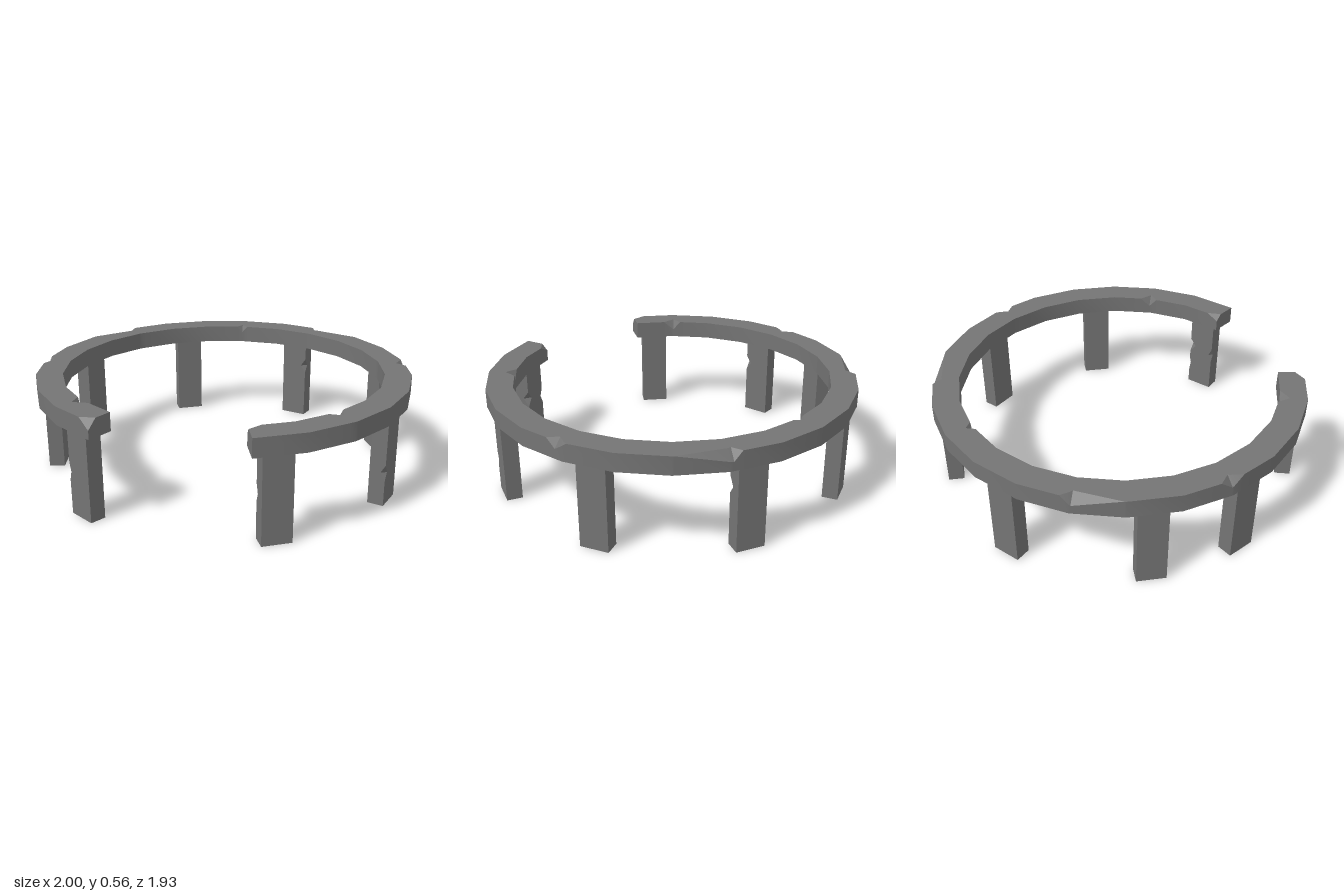
import * as THREE from 'three';
import { toCreasedNormals } from 'three/addons/utils/BufferGeometryUtils.js';

const stone = new THREE.MeshStandardMaterial({ color: 0x747474 });
stone.name = 'grey stone';

const DEG = Math.PI / 180;
const CENTRE_Z = 0.03, OUTER = 1.009, INNER = 0.867, LOW = 0.46, TOP = 0.557;

// Skin a row of equal-length closed cross-sections and cap both ends
function loft(sections) {
  const pos = [];
  const tri = (a, b, c) => {
    const area = b.clone().sub(a).cross(c.clone().sub(a)).length();
    if (area > 1e-7) for (const p of [a, b, c]) pos.push(p.x, p.y, p.z);
  };
  const n = sections[0].length, first = sections[0], last = sections[sections.length - 1];
  for (let i = 0; i < sections.length - 1; i++) {
    for (let j = 0; j < n; j++) {
      const k = (j + 1) % n, s = sections[i], t = sections[i + 1];
      tri(s[j], s[k], t[k]);
      tri(s[j], t[k], t[j]);
    }
  }
  for (let j = 1; j < n - 1; j++) {
    tri(first[0], first[j + 1], first[j]);
    tri(last[0], last[j], last[j + 1]);
  }
  const geo = new THREE.BufferGeometry();
  geo.setAttribute('position', new THREE.Float32BufferAttribute(pos, 3));
  return toCreasedNormals(geo, 20 * DEG);
}

// Depth of the deepest chip at a station: rises from lo to peak, falls to hi
function chipDepth(chips, at) {
  let depth = 0;
  for (const { lo, peak, hi, d } of chips) {
    if (at < lo || at > hi) continue;
    const f = at <= peak ? (peak > lo ? (at - lo) / (peak - lo) : 1) : (hi - at) / (hi - peak);
    depth = Math.max(depth, d * f);
  }
  return depth;
}

// Chips along the ring's top edges, in degrees from the front
const outerChips = [
  { lo: 107, peak: 110, hi: 114, d: 0.045 },
  { lo: 143, peak: 158.5, hi: 161, d: 0.05 },
  { lo: 230, peak: 233, hi: 247, d: 0.05 },
  { lo: 273.5, peak: 277, hi: 281, d: 0.045 },
  { lo: 333.5, peak: 337.5, hi: 337.5, d: 0.05 },
];
const innerChips = [
  { lo: 22.5, peak: 22.5, hi: 27, d: 0.035 },
  { lo: 50, peak: 53, hi: 56.5, d: 0.05 },
  { lo: 185.5, peak: 187.7, hi: 189.8, d: 0.035 },
  { lo: 319, peak: 322, hi: 326, d: 0.05 },
];

// Broken lintel ring: straight 15 degree segments with a gap at the front
function makeRing() {
  const stations = new Set();
  for (let a = 22.5; a <= 337.5; a += 15) stations.add(a);
  for (const c of [...outerChips, ...innerChips]) [c.lo, c.peak, c.hi].forEach(a => stations.add(a));
  const sections = [...stations].sort((a, b) => a - b).map(a => {
    const fromMiddle = ((a - 22.5) % 15 - 7.5) * DEG;
    const chord = Math.cos(7.5 * DEG) / Math.cos(fromMiddle);
    const R = OUTER * chord, r = INNER * chord;
    const o = chipDepth(outerChips, a), i = chipDepth(innerChips, a);
    const profile = [
      [R, TOP - o], [R, LOW], [r, LOW], [r, TOP - i], [r + i, TOP], [R - o, TOP],
    ];
    return profile.map(([q, y]) =>
      new THREE.Vector3(q * Math.sin(a * DEG), y, q * Math.cos(a * DEG) + CENTRE_Z));
  });
  return new THREE.Mesh(loft(sections), stone);
}

// Upright slab; each chip cuts one vertical corner [corner, height, depth]
function makePillar(chips) {
  const w = 0.153 / 2, d = 0.084 / 2;
  const corners = [[-w, d], [w, d], [w, -d], [-w, -d]];
  const spans = chips.map(([corner, y, depth]) =>
    ({ corner, lo: y - 0.045, peak: y, hi: y + 0.045, d: depth }));
  const levels = new Set([0, LOW]);
  for (const s of spans) [s.lo, s.peak, s.hi].forEach(y => levels.add(y));
  const sections = [...levels].sort((a, b) => a - b).map(y => corners.flatMap((c, j) => {
    const cut = chipDepth(spans.filter(s => s.corner === j), y);
    return [corners[(j + 3) % 4], corners[(j + 1) % 4]].map(to => {
      const dx = Math.sign(to[0] - c[0]) * cut, dz = Math.sign(to[1] - c[1]) * cut;
      return new THREE.Vector3(c[0] + dx, y, c[1] + dz);
    });
  }));
  return new THREE.Mesh(loft(sections), stone);
}

// Pillar bearings in degrees from the front, with their chips
const pillars = [
  [30, [[2, 0.27, 0.035], [2, 0.13, 0.015], [3, 0.24, 0.02]]],
  [75, [[0, 0.18, 0.025]]],
  [120, []],
  [165, [[3, 0.33, 0.03]]],
  [210, []],
  [255, []],
  [285, [[2, 0.32, 0.03]]],
  [330, [[0, 0.23, 0.012]]],
];

export function createModel() {
  const model = new THREE.Group();
  model.name = 'stoneCircle';
  const ring = makeRing();
  ring.name = 'lintelRing';
  model.add(ring);
  pillars.forEach(([angle, chips], i) => {
    const pillar = makePillar(chips);
    pillar.name = `pillar${i + 1}`;
    pillar.rotation.y = angle * DEG;
    pillar.position.set(0.937 * Math.sin(angle * DEG), 0, 0.937 * Math.cos(angle * DEG) + CENTRE_Z);
    model.add(pillar);
  });
  return model;
}
